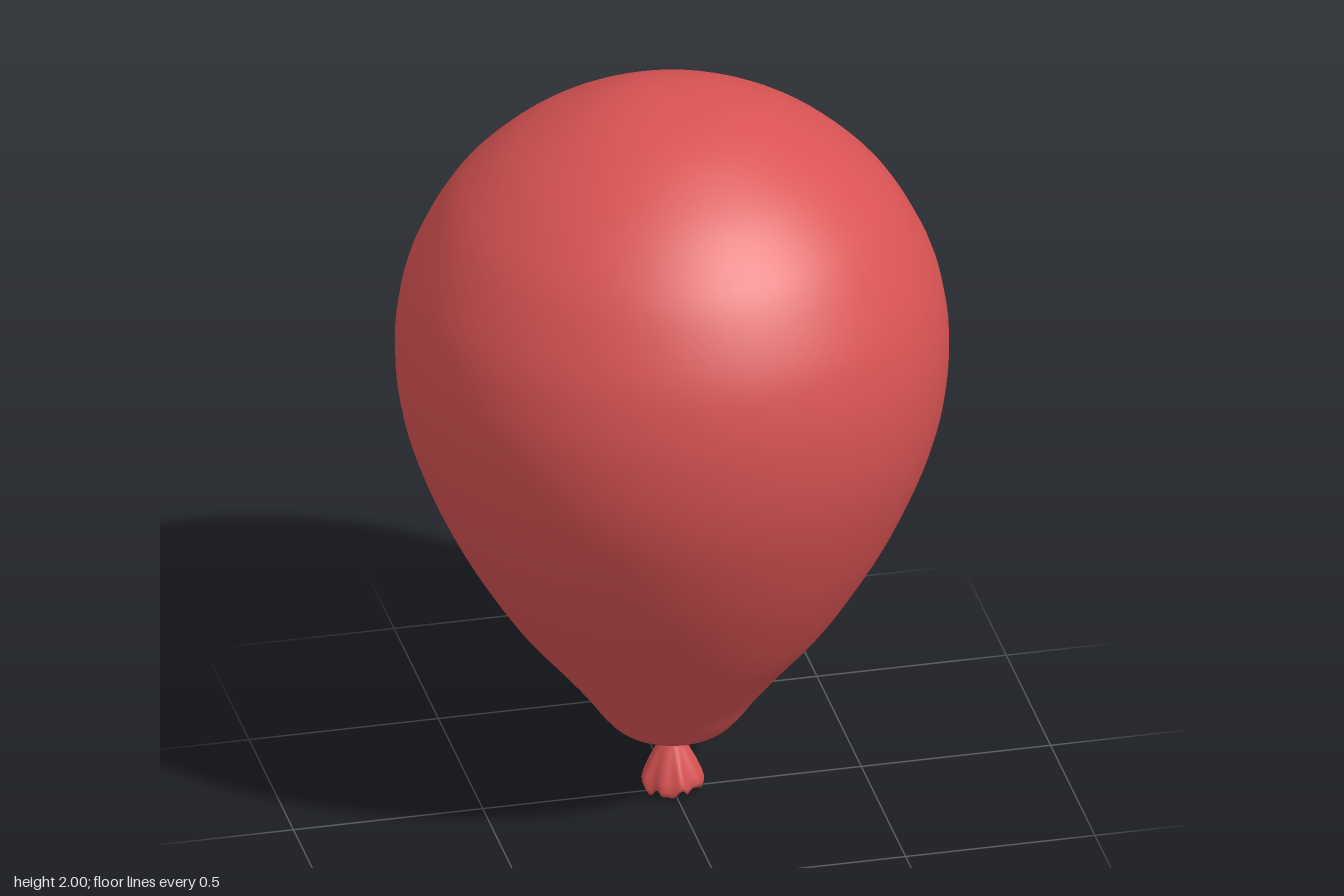
import * as THREE from 'three';
import { mergeVertices } from 'three/addons/utils/BufferGeometryUtils.js';

const vectors = (points) => points.map(([r, y]) => new THREE.Vector2(r, y));

// Smooth pear-shaped skin, drawn in towards the neck underneath
function bodyGeometry() {
  const curve = new THREE.SplineCurve(vectors([
    [0, 0.2], [0.03, 0.183], [0.09, 0.183], [0.145, 0.2], [0.185, 0.24], [0.235, 0.31],
    [0.315, 0.41], [0.4, 0.513], [0.485, 0.64], [0.58, 0.81], [0.66, 1.0], [0.7, 1.15],
    [0.713, 1.29], [0.705, 1.41], [0.672, 1.54], [0.595, 1.69], [0.51, 1.79],
    [0.4, 1.88], [0.25, 1.96], [0.12, 1.995], [0, 2.0],
  ]));
  const profile = curve.getPoints(80);
  profile.forEach((p) => { p.x = Math.max(p.x, 0); });
  return new THREE.LatheGeometry(profile, 72);
}

// Gathered skirt with a hollow, crumpled underside and a wavy rim
function skirtGeometry() {
  const geometry = new THREE.LatheGeometry(vectors([
    [0, 0.055], [0.02, 0.045], [0.035, 0.026], [0.05, 0.042], [0.063, 0.022], [0.074, 0.02],
    [0.079, 0.03], [0.074, 0.05], [0.06, 0.085], [0.043, 0.12], [0.027, 0.15],
    [0.016, 0.18], [0.013, 0.21],
  ]), 72);
  const position = geometry.attributes.position;
  for (let i = 0; i < position.count; i++) {
    const x = position.getX(i), y = position.getY(i), z = position.getZ(i);
    const angle = Math.atan2(x, z);
    const r = Math.hypot(x, z);
    const flare = THREE.MathUtils.clamp(r / 0.075, 0, 1);
    const low = THREE.MathUtils.clamp((0.16 - y) / 0.13, 0, 1);
    const fold = Math.sin(9 * angle + 0.6) * 0.055 + Math.sin(5 * angle + 2) * 0.035;
    const wave = Math.sin(8 * angle + 1) * 0.005 + Math.sin(3 * angle) * 0.003
      + Math.sin(13 * angle) * 0.003;
    const scale = 1 + fold * low;
    position.setXYZ(i, x * scale, y + wave * flare * low * low, z * scale);
  }
  geometry.deleteAttribute('uv');
  geometry.deleteAttribute('normal');
  const merged = mergeVertices(geometry, 1e-5);
  merged.computeVertexNormals();
  // One hanging scrap of the rim reaches the ground
  merged.computeBoundingBox();
  const lowest = merged.boundingBox.min.y;
  const p = merged.attributes.position;
  for (let i = 0; i < p.count; i++) {
    const t = THREE.MathUtils.clamp((0.05 - p.getY(i)) / (0.05 - lowest), 0, 1);
    p.setY(i, p.getY(i) - lowest * t ** 4);
  }
  merged.computeVertexNormals();
  return merged;
}

export function createModel() {
  const red = new THREE.MeshStandardMaterial({ color: 0xd95353 });
  red.name = 'red rubber';
  const redDouble = red;
  redDouble.side = THREE.DoubleSide;

  const group = new THREE.Group();
  group.name = 'balloon';
  const parts = { body: bodyGeometry(), knotSkirt: skirtGeometry() };
  for (const [name, geometry] of Object.entries(parts)) {
    const mesh = new THREE.Mesh(geometry, red);
    mesh.name = name;
    group.add(mesh);
  }

  // Tight rolled neck above the skirt
  const neck = new THREE.Mesh(new THREE.TorusGeometry(0.013, 0.007, 10, 24), red);
  neck.name = 'neckRoll';
  neck.rotation.x = Math.PI / 2;
  neck.position.y = 0.18;
  group.add(neck);
  return group;
}
